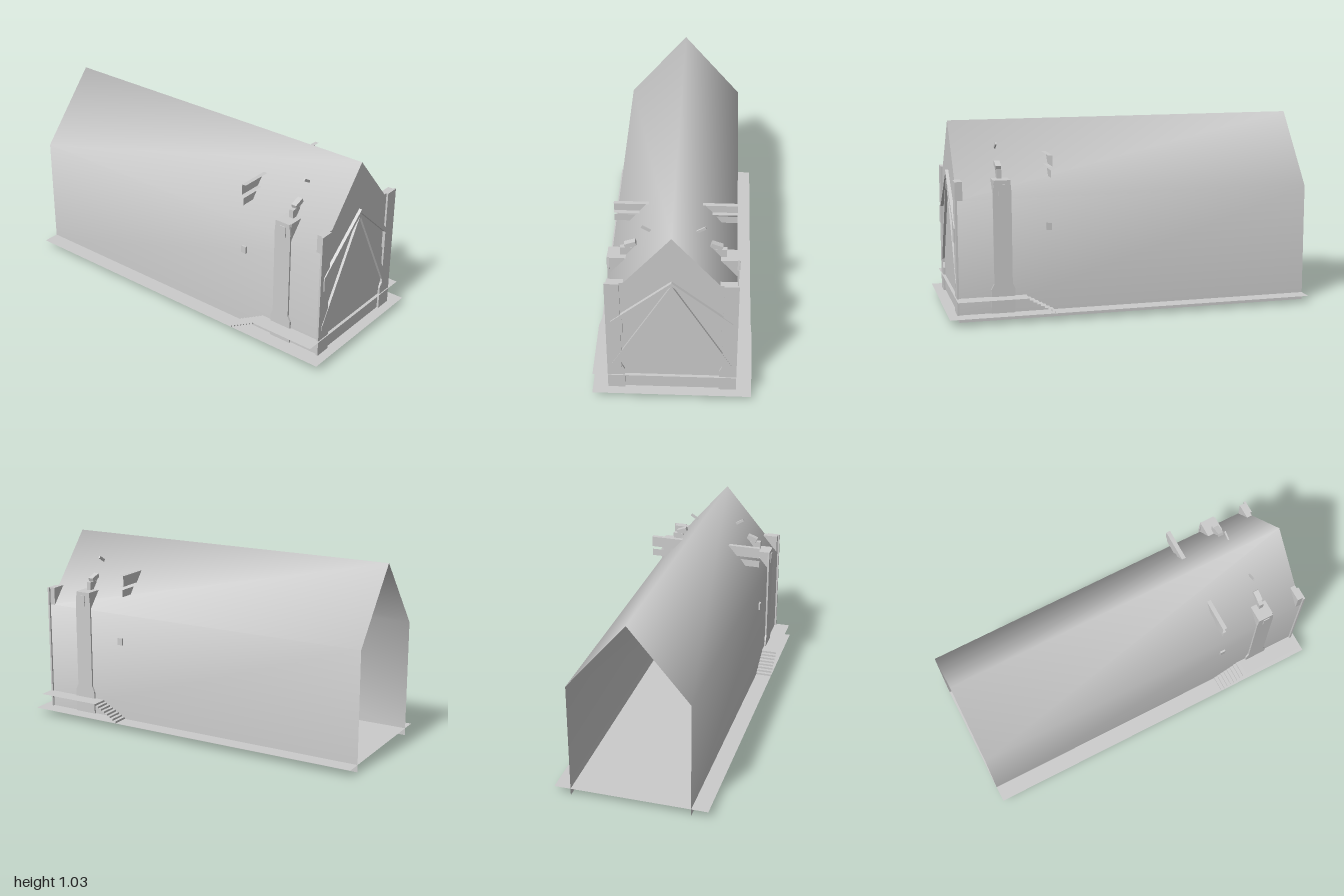
import * as THREE from 'three';

const solid = new THREE.MeshStandardMaterial({ color: 0xcccccc });
const flat = new THREE.MeshStandardMaterial({ color: 0xcccccc, side: THREE.DoubleSide, flatShading: true });
const smooth = new THREE.MeshStandardMaterial({ color: 0xcccccc, side: THREE.DoubleSide });

const shapeOf = (pts) => new THREE.Shape(pts.map(([a, b]) => new THREE.Vector2(a, b)));

// open sheet spanned between two equally long lines of points
function sheet(a, b) {
  const g = new THREE.BufferGeometry();
  g.setAttribute('position', new THREE.Float32BufferAttribute([...a, ...b].flat(), 3));
  const index = [], n = a.length;
  for (let i = 0; i < n - 1; i++) index.push(i, i + n, i + 1, i + 1, i + n, i + n + 1);
  g.setIndex(index);
  g.computeVertexNormals();
  return g;
}

// profile drawn in (z, y), extruded from x0 to x1
function extrudeX(pts, x0, x1) {
  const g = new THREE.ExtrudeGeometry(shapeOf(pts), { depth: x1 - x0, bevelEnabled: false });
  return g.rotateY(-Math.PI / 2).translate(x1, 0, 0);
}

// profile drawn in (x, y), extruded from z0 to z1
function extrudeZ(pts, z0, z1) {
  return new THREE.ExtrudeGeometry(shapeOf(pts), { depth: z1 - z0, bevelEnabled: false }).translate(0, 0, z0);
}

function box(x0, x1, y0, y1, z0, z1) {
  return new THREE.BoxGeometry(x1 - x0, y1 - y0, z1 - z0)
    .translate((x0 + x1) / 2, (y0 + y1) / 2, (z0 + z1) / 2);
}

export function createModel() {
  const model = new THREE.Group();
  model.name = 'gabledHall';
  const add = (name, geometry, material = solid, parent = model) => {
    const mesh = new THREE.Mesh(geometry, material);
    mesh.name = name;
    parent.add(mesh);
    return mesh;
  };
  const END = 0.94, HALF = 0.325, FLOOR = 0.04, DECK = 0.13;

  // walls and roof as one smooth shell, open at the -x end
  const section = [[HALF, 0], [HALF, 0.65], [0, 1.035], [-HALF, 0.65], [-HALF, 0]];
  add('wallsAndRoof', sheet(section.map(([z, y]) => [END, y, z]), section.map(([z, y]) => [-1, y, z])), smooth);
  add('gableWall', new THREE.ShapeGeometry(shapeOf(section)).rotateY(-Math.PI / 2).translate(END, 0, 0), flat);

  // ground sheet
  add('ground', sheet([[-1, FLOOR, -0.415], [1, FLOOR, -0.415]], [[-1, FLOOR, 0.415], [1, FLOOR, 0.415]]), flat);

  // narrow deck across the gable end
  add('frontDeck', sheet([[END, DECK, -0.415], [0.957, DECK, -0.415]], [[END, DECK, 0.415], [0.957, DECK, 0.415]]), flat);

  // crossed boards on the gable
  const mirrorZ = (half) => [...half, ...half.slice(1, -1).reverse().map(([z, y]) => [-z, y])];
  add('upperGableBoards', extrudeX(mirrorZ(
    [[0, 0.77], [0.31, 0.505], [0.31, 0.425], [0.25, 0.425], [0.25, 0.525], [0, 0.75]]), END, 0.957));
  add('lowerGableBoards', extrudeX(mirrorZ(
    [[0, 0.75], [0.31, 0.21], [0.31, 0.185], [0.26, 0.185], [0.26, 0.22], [0, 0.725]]), END, 0.954));

  // parts repeated on both long sides
  for (const s of [1, -1]) {
    const side = new THREE.Group();
    side.name = s > 0 ? 'frontSide' : 'backSide';
    model.add(side);
    const put = (name, g, material = solid) => {
      if (s < 0) g.rotateY(Math.PI).scale(1, 1, 1); // turned, then shifted back to its own x
      return add(name, g, material, side);
    };
    // mirrored ranges keep the winding correct
    const zr = (a, b) => (s > 0 ? [a, b] : [-b, -a]);
    const part = (name, g, material = solid) => add(name, g, material, side);

    // deck and stairs
    const treads = [[0.44, FLOOR]];
    const steps = 8;
    for (let i = 1; i <= steps; i++) {
      const y = FLOOR + ((DECK - FLOOR) * i) / steps;
      treads.push([0.44 + 0.02 * (i - 1), y], [0.44 + 0.02 * i, y]);
    }
    treads.push([END, DECK]);
    part('deckAndStairs', sheet(treads.map(([x, y]) => [x, y, s * HALF]), treads.map(([x, y]) => [x, y, s * 0.415])), flat);

    // flared side pilaster with a wedge standing above the eave
    part('sidePilaster', extrudeZ([[0.642, 0.02], [0.768, 0.02], [0.768, 0.17], [0.753, 0.2], [0.753, 0.69],
      [0.745, 0.75], [0.66, 0.75], [0.655, 0.69], [0.655, 0.2], [0.642, 0.17]], ...zr(HALF, 0.335)));
    const wedge = [[s * HALF, 0.65], [s * HALF, 0.75], [s * 0.24, 0.75]];
    part('sidePilasterTop', extrudeX(wedge, 0.66, 0.75));

    // corner pilaster on the gable
    part('cornerPilaster', extrudeX([[0.335, 0.02], [0.335, 0.75], [0.26, 0.75], [0.26, 0.2], [0.245, 0.17], [0.245, 0.02]]
      .map(([z, y]) => [s * z, y]), END, 0.951));
    part('cornerPilasterTop', extrudeX(wedge, 0.91, END));

    // thin channel beam and the short plate under it
    const channel = [[0.455, 0.87], [0.432, 0.87], [0.432, 0.81], [0.455, 0.81]];
    part('channelBeam', sheet(channel.map(([x, y]) => [x, y, s * 0.14]), channel.map(([x, y]) => [x, y, s * 0.322])), flat);
    part('lowerPlate', sheet([[0.44, 0.79, s * 0.21], [0.44, 0.75, s * 0.24]],
      [[0.44, 0.79, s * 0.322], [0.44, 0.75, s * 0.322]]), flat);

    // small wall box and roof brackets
    part('wallBox', box(0.44, 0.47, 0.475, 0.515, ...zr(HALF, 0.335)));
    part('bracketFoot', box(0.69, 0.725, 0.67, 0.73, ...zr(HALF, 0.34)));
    part('bracketBlock', box(0.695, 0.72, 0.75, 0.795, ...zr(0.21, 0.27)));
    const arm = part('bracketArm', new THREE.BoxGeometry(0.03, 0.025, 0.06));
    arm.position.set(0.707, 0.813, s * 0.218);
    arm.rotation.x = s * 0.35;
    const strut = part('bracketRail', new THREE.BoxGeometry(0.018, 0.014, 0.11));
    strut.position.set(0.707, 0.775, s * 0.23);
    strut.rotation.x = s * 0.75;
    const peg = part('roofPeg', new THREE.BoxGeometry(0.008, 0.014, 0.055));
    peg.position.set(0.705, 0.908, s * 0.138);
    peg.rotation.x = -s * 0.55;
  }
  return model;
}
